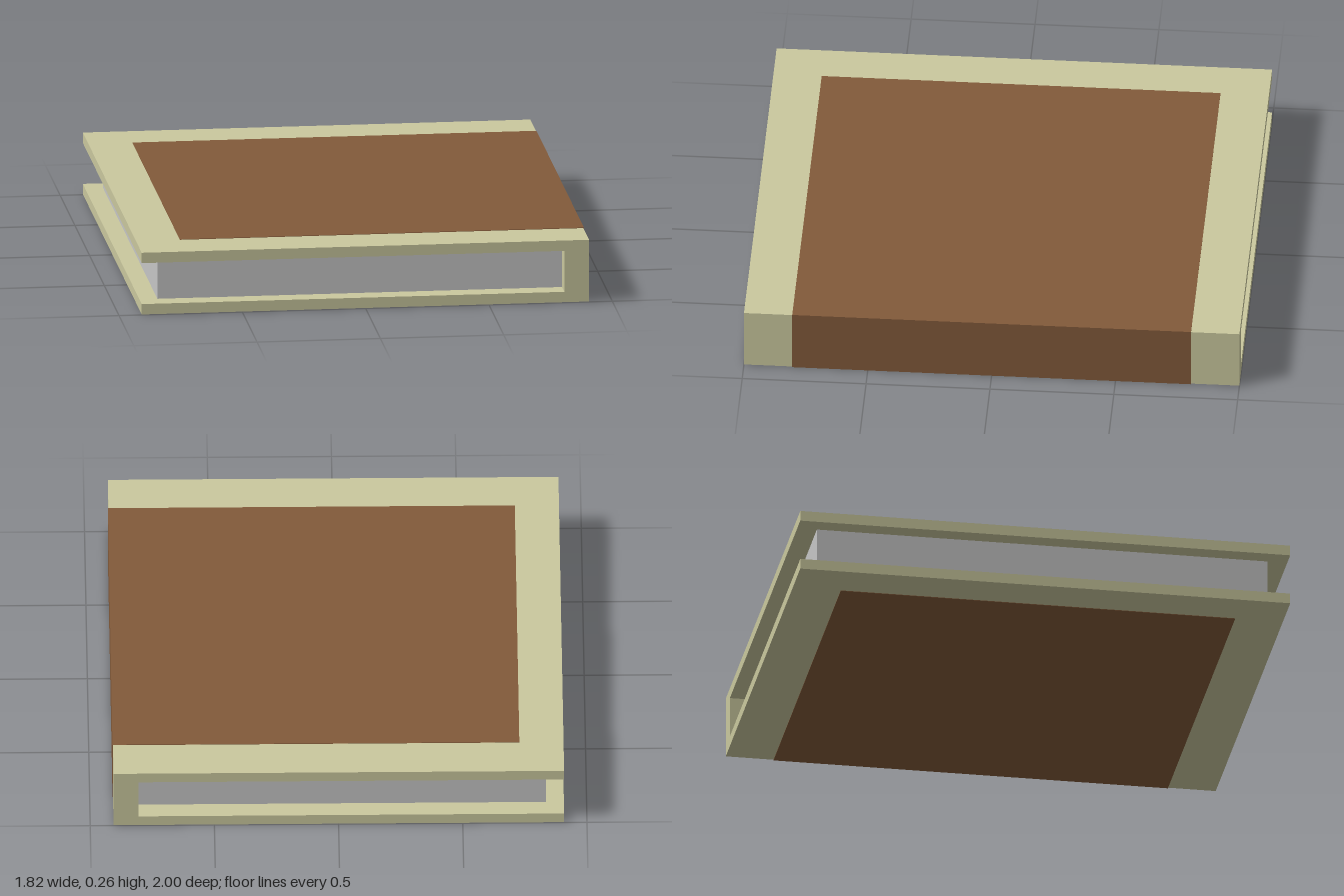
import * as THREE from 'three';

const HEIGHT = 0.26, FORE = -0.908, SPINE = 0.908;
const T = 0.002; // thickness of the painted panel

const coverMat = new THREE.MeshStandardMaterial({ name: 'cream cover', color: 0xcac89e });
const panelMat = new THREE.MeshStandardMaterial({ name: 'brown panel', color: 0x825a3a });
const pageMat = new THREE.MeshStandardMaterial({ name: 'grey pages', color: 0xc6c6c6 });

// A C-shaped profile, open towards -x, extruded along z and centred.
function wrap(name, material, x0, x1, y0, y1, board, spine, depth) {
  const shape = new THREE.Shape([
    [x0, y0], [x1, y0], [x1, y1], [x0, y1],
    [x0, y1 - board], [x1 - spine, y1 - board], [x1 - spine, y0 + board], [x0, y0 + board],
  ].map(([x, y]) => new THREE.Vector2(x, y)));
  const geometry = new THREE.ExtrudeGeometry(shape, { depth, bevelEnabled: false });
  geometry.translate(0, 0, -depth / 2);
  const mesh = new THREE.Mesh(geometry, material);
  mesh.name = name;
  return mesh;
}

export function createModel() {
  const book = new THREE.Group();
  book.name = 'book';

  // Two boards joined by the spine
  book.add(wrap('cover', coverMat, FORE, SPINE - T, T, HEIGHT - T, 0.043, 0.1, 2));

  // Brown panel wrapped over the front board, spine and back board
  book.add(wrap('coverPanel', panelMat, -0.73, SPINE, 0, HEIGHT, T, T, 1.61));

  // Block of pages, set back from the cover's edges
  const x0 = -0.835, x1 = 0.806;
  const pages = new THREE.Mesh(new THREE.BoxGeometry(x1 - x0, HEIGHT - 0.09, 1.84), pageMat);
  pages.position.set((x0 + x1) / 2, HEIGHT / 2, 0);
  pages.name = 'pages';
  book.add(pages);

  return book;
}
